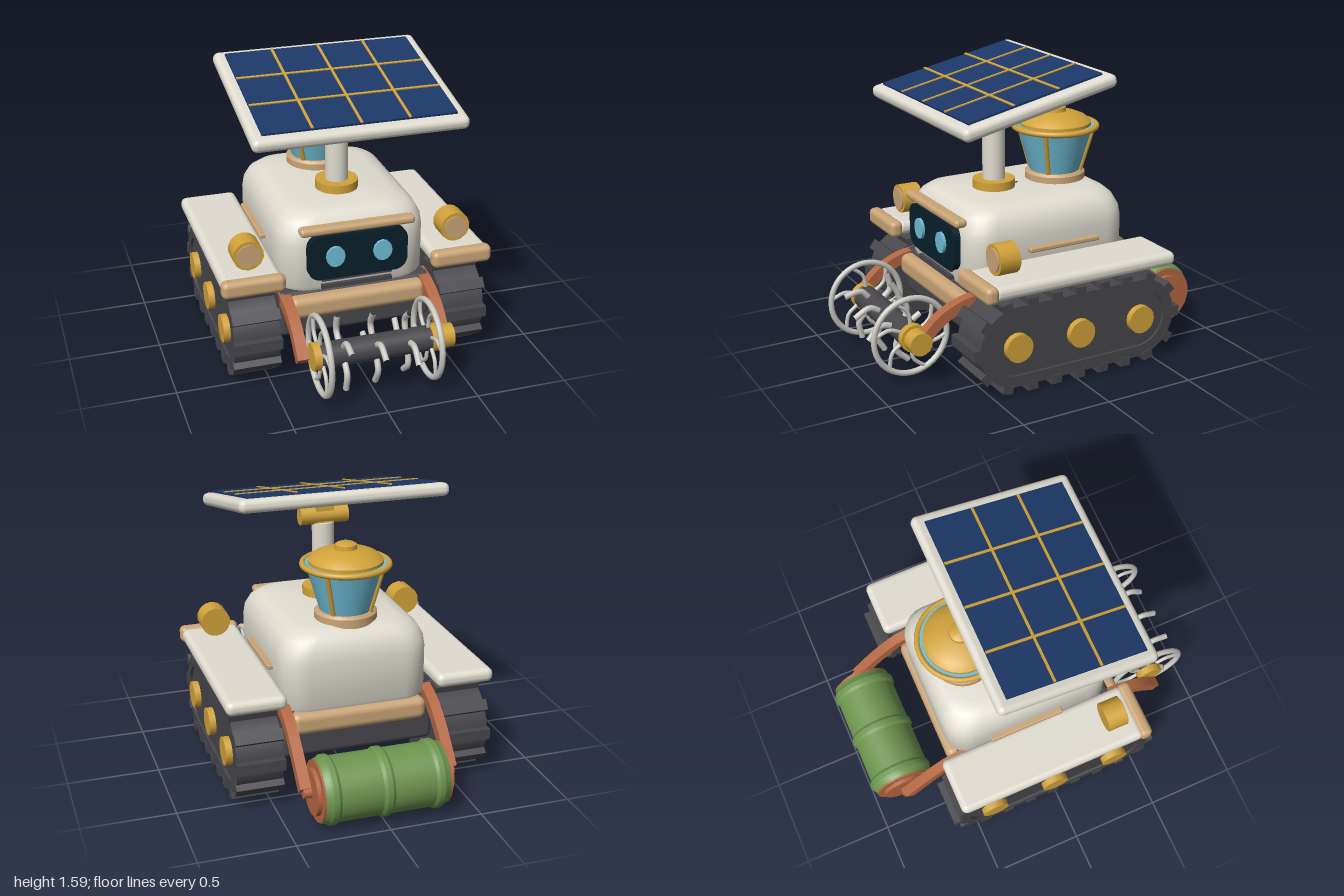
import * as THREE from 'three';
import { toCreasedNormals } from 'three/addons/utils/BufferGeometryUtils.js';
import { RoundedBoxGeometry } from 'three/addons/geometries/RoundedBoxGeometry.js';

const PI = Math.PI;
const paint = (name, color) => Object.assign(new THREE.MeshStandardMaterial({ color }), { name });
const M = {
  shell: paint('ivory shell', 0xe0dcd0), tan: paint('tan trim', 0xcaa577), gold: paint('brass', 0xd2a33a),
  copper: paint('copper', 0xb56843), green: paint('green drum', 0x6d954f), track: paint('dark rubber', 0x48474c),
  screen: paint('dark screen', 0x081f2a), glass: paint('cyan glass', 0x70bfd7), cell: paint('solar blue', 0x1c3868),
  steel: paint('pale steel', 0xcac8c2),
};

function add(parent, name, geo, mat, x = 0, y = 0, z = 0) {
  const m = new THREE.Mesh(geo, mat);
  m.name = name;
  m.position.set(x, y, z);
  parent.add(m);
  return m;
}
function group(parent, name, x = 0, y = 0, z = 0) {
  const g = new THREE.Group();
  g.name = name;
  g.position.set(x, y, z);
  parent.add(g);
  return g;
}
const box = (w, h, d) => new THREE.BoxGeometry(w, h, d);
const rbox = (w, h, d, r) => new RoundedBoxGeometry(w, h, d, 3, r);
const cyl = (rTop, rBottom, h, n = 24) => new THREE.CylinderGeometry(rTop, rBottom, h, n);
const cylX = (r, w, n = 24) => cyl(r, r, w, n).rotateZ(PI / 2);
const cylZ = (r, d, n = 24) => cyl(r, r, d, n).rotateX(PI / 2);
const lathe = (pts, n = 32) =>
  toCreasedNormals(new THREE.LatheGeometry(pts.map(p => new THREE.Vector2(...p)), n), 0.6);
const curve = pts => new THREE.CatmullRomCurve3(pts.map(p => new THREE.Vector3(...p)));
const tube = (pts, r, seg = 12, sides = 8) => new THREE.TubeGeometry(curve(pts), seg, r, sides);

// Square bar swept along a path
function bar(pts, size) {
  const h = size / 2;
  const s = new THREE.Shape([[-h, -h], [h, -h], [h, h], [-h, h]].map(p => new THREE.Vector2(...p)));
  return toCreasedNormals(new THREE.ExtrudeGeometry(s, { steps: 14, extrudePath: curve(pts) }), 0.6);
}

// Loft of rounded rectangles: each section is [y, halfX, halfZ, cornerRadius]
function loft(sections, perCorner = 7) {
  const pos = [], idx = [], n = perCorner * 4;
  for (const [y, hx, hz, r] of sections)
    for (let c = 0; c < 4; c++)
      for (let k = 0; k < perCorner; k++) {
        const a = (c + k / (perCorner - 1)) * PI / 2;
        const sx = c === 0 || c === 3 ? 1 : -1, sz = c < 2 ? 1 : -1;
        pos.push(sx * (hx - r) + r * Math.cos(a), y, sz * (hz - r) + r * Math.sin(a));
      }
  for (let i = 0; i < sections.length - 1; i++)
    for (let j = 0; j < n; j++) {
      const a = i * n + j, b = i * n + (j + 1) % n;
      idx.push(a, a + n, b, b, a + n, b + n);
    }
  const g = new THREE.BufferGeometry();
  g.setAttribute('position', new THREE.Float32BufferAttribute(pos, 3));
  g.setIndex(idx);
  return toCreasedNormals(g, 0.7);
}

// Stadium outline, optionally hollow, extruded across x and centred
function stadium(half, r, w, hole = 0) {
  const outline = (path, q) => path.absarc(half, 0, q, -PI / 2, PI / 2, false)
    .absarc(-half, 0, q, PI / 2, PI * 1.5, false);
  const s = outline(new THREE.Shape(), r);
  if (hole) s.holes.push(outline(new THREE.Path(), hole));
  const g = new THREE.ExtrudeGeometry(s, { depth: w, bevelEnabled: false, curveSegments: 14 });
  return toCreasedNormals(g.translate(0, 0, -w / 2).rotateY(PI / 2), 0.6);
}

function buildBody(root) {
  const g = group(root, 'body');
  add(g, 'shell', loft([
    [0.46, 0.01, 0.01, 0.005], [0.46, 0.39, 0.47, 0.14], [0.5, 0.41, 0.49, 0.15], [0.74, 0.41, 0.49, 0.15],
    [0.8, 0.402, 0.482, 0.15], [0.855, 0.375, 0.458, 0.15], [0.888, 0.335, 0.425, 0.15],
    [0.905, 0.27, 0.375, 0.14], [0.905, 0.01, 0.01, 0.005],
  ]), M.shell, 0, 0, -0.02);
  add(g, 'chassis', rbox(0.85, 0.26, 0.96, 0.03), M.track, 0, 0.35, -0.01);
  add(g, 'frontBumper', rbox(0.76, 0.122, 0.11, 0.04), M.tan, 0, 0.402, 0.475);
  add(g, 'rearBumper', rbox(0.75, 0.122, 0.12, 0.04), M.tan, 0, 0.42, -0.475);
  // Face
  const s = new THREE.Shape(), w = 0.275, h = 0.125, r = 0.07;
  s.absarc(w - r, h - r, r, 0, PI / 2);
  s.absarc(-w + r, h - r, r, PI / 2, PI);
  s.absarc(-w + r, -h + r, r, PI, PI * 1.5);
  s.absarc(w - r, -h + r, r, PI * 1.5, PI * 2);
  add(g, 'faceScreen', new THREE.ExtrudeGeometry(s, { depth: 0.06, bevelEnabled: false }), M.screen, 0, 0.677, 0.445);
  add(g, 'brow', rbox(0.63, 0.045, 0.07, 0.02), M.tan, 0, 0.833, 0.478);
  for (const x of [-0.128, 0.132])
    add(g, 'eye', rbox(0.1, 0.116, 0.018, 0.009).scale(1, 1, 1) && cylZ(0.052, 0.018, 12).scale(1, 1.13, 1),
      M.glass, x, 0.685, 0.512);
  for (const y of [0.545, 0.5]) add(g, 'grilleSlat', box(0.39, 0.024, 0.04), M.track, 0, y, 0.47);
  for (const x of [-0.42, 0.42]) add(g, 'sideTrim', rbox(0.045, 0.026, 0.43, 0.008), M.tan, x, 0.667, -0.075);
}

// Tracks, fenders and headlamps
function buildSide(root, s) {
  const name = s > 0 ? 'left' : 'right';
  const t = group(root, name + 'Track', s * 0.573, 0.269, -0.015);
  const half = 0.37, r = 0.222, straight = half * 2, arc = PI * r, total = 2 * (straight + arc), count = 20;
  add(t, 'belt', stadium(half, r, 0.25, 0.16), M.track);
  add(t, 'sidePlate', stadium(half, 0.165, 0.222), M.track);
  for (let i = 0; i < count; i++) {
    let d = ((i / count) * total + half) % total, flip = 0;
    if (d >= straight + arc) { d -= straight + arc; flip = PI; }
    const a = d < straight ? 0 : (d - straight) / r;
    const z = d < straight ? d - half : half, R = r + 0.01;
    const pivot = group(t, 'lugPivot');
    pivot.rotation.x = flip;
    add(pivot, 'trackLug', box(0.258, 0.05, 0.06), M.track, 0, R * Math.cos(a), z + R * Math.sin(a)).rotation.x = a;
  }
  for (const z of [-0.375, 0, 0.375]) add(t, 'wheelHub', cylX(0.077, 0.07, 18), M.gold, s * 0.112, 0, z);

  const f = group(root, name + 'Fender', s * 0.575, 0, 0);
  add(f, 'fenderPlate', rbox(0.325, 0.078, 1.1, 0.035), M.shell, 0, 0.588, -0.04);
  add(f, 'fenderNose', rbox(0.34, 0.095, 0.075, 0.03), M.tan, 0, 0.588, 0.522);
  add(f, 'headlamp', cylZ(0.083, 0.115, 14), M.gold, 0, 0.717, 0.377);
  add(f, 'headlampLens', cylZ(0.064, 0.009, 14), M.tan, 0, 0.717, 0.438);
}

function buildSolarPanel(root) {
  const g = group(root, 'solarMast', 0, 0, 0.12);
  add(g, 'mastCollar', cyl(0.117, 0.117, 0.055), M.gold, 0, 0.925);
  add(g, 'mast', cyl(0.062, 0.062, 0.42), M.shell, 0, 1.11);
  add(g, 'tiltBracket', box(0.1, 0.1, 0.08), M.gold, 0, 1.37);
  add(g, 'tiltPivot', cylX(0.05, 0.27, 16), M.gold, 0, 1.357);
  const p = group(g, 'solarPanel', 0, 1.464, 0.022);
  p.rotation.x = 0.215;
  add(p, 'panelFrame', rbox(1.145, 0.072, 0.905, 0.032), M.shell);
  add(p, 'solarCells', box(1.03, 0.016, 0.79), M.cell, 0, 0.039);
  for (const x of [-0.2575, 0, 0.2575]) add(p, 'cellLine', box(0.014, 0.009, 0.79), M.gold, x, 0.048);
  for (const z of [-0.132, 0.132]) add(p, 'cellLine', box(1.03, 0.009, 0.014), M.gold, 0, 0.048, z);
}

function buildLantern(root) {
  const g = group(root, 'lantern', 0, 0, -0.27);
  add(g, 'lanternBase', lathe([[0, 0.89], [0.168, 0.89], [0.168, 0.94], [0.155, 0.953], [0, 0.953]]), M.tan);
  add(g, 'lanternGlass', cyl(0.217, 0.14, 0.258, 32), M.glass, 0, 1.079);
  for (let i = 0; i < 4; i++) {
    const a = (i + 0.5) * PI / 2, c = Math.cos(a), n = Math.sin(a);
    add(g, 'lanternStrut', tube([[c * 0.143, 0.95, n * 0.143], [c * 0.213, 1.19, n * 0.213]], 0.013, 1), M.gold);
  }
  add(g, 'lanternRim', new THREE.TorusGeometry(0.23, 0.016, 10, 36).rotateX(PI / 2), M.gold, 0, 1.2);
  add(g, 'lanternLid', lathe([[0, 1.19], [0.2, 1.19], [0.2, 1.225], [0.17, 1.252],
    [0.12, 1.272], [0.06, 1.282], [0.058, 1.305], [0.04, 1.315], [0, 1.316]]), M.gold);
}

// Tilling reel carried on the front arms
function buildReel(root) {
  const g = group(root, 'tillerReel', 0, 0.268, 0.775);
  add(g, 'reelAxle', cylX(0.068, 0.66), M.track);
  const spoke = (x, a0, bend, r0, r1, name, thick) => {
    const pts = [0, 0.5, 1].map(t => {
      const r = r0 + (r1 - r0) * t, a = a0 + bend * t * t;
      return [x, r * Math.cos(a), r * Math.sin(a)];
    });
    add(g, name, tube(pts, thick, 8, 7), M.steel);
  };
  for (const x of [-0.295, 0.297]) {
    add(g, 'reelRim', new THREE.TorusGeometry(0.208, 0.016, 10, 40).rotateY(PI / 2), M.steel, x);
    add(g, 'reelHub', cylX(0.075, 0.04, 18), M.gold, x * 1.09);
    for (let i = 0; i < 6; i++) spoke(x, i * PI / 3, 0.4, 0.06, 0.208, 'reelSpoke', 0.011);
  }
  [-0.178, 0, 0.178].forEach((x, row) => {
    for (let i = 0; i < 4; i++) spoke(x, (i + 0.35) * PI / 2 + row * 0.3, 0.6, 0.055, 0.192, 'tine', 0.017);
  });
  add(g, 'reelMotor', cylX(0.063, 0.08, 16), M.gold, 0.39);
  for (const s of [-1, 1])
    add(root, 'frontArm', bar([[s * 0.39, 0.45, 0.38], [s * 0.39, 0.43, 0.52], [s * 0.388, 0.37, 0.65],
      [s * 0.388, 0.25, 0.775]], 0.06), M.copper);
}

// Ribbed drum trailing on the rear arms
function buildDrum(root) {
  const g = group(root, 'rearDrum', 0, 0.19, -0.815);
  const rib = x => [[0.172, x - 0.03], [0.183, x - 0.014], [0.183, x + 0.014], [0.172, x + 0.03]];
  add(g, 'drumShell', lathe([[0, -0.335], [0.165, -0.335], ...rib(-0.285), ...rib(0), ...rib(0.285),
    [0.165, 0.335], [0, 0.335]]).rotateZ(PI / 2), M.green);
  add(g, 'drumCap', cylX(0.163, 0.69, 32), M.copper);
  add(g, 'drumCapDisc', cylX(0.125, 0.735, 32), M.copper);
  add(g, 'drumAxle', cylX(0.03, 0.82, 16), M.copper);
  for (const s of [-1, 1])
    add(root, 'rearArm', bar([[s * 0.4, 0.5, -0.42], [s * 0.4, 0.455, -0.54], [s * 0.4, 0.36, -0.66],
      [s * 0.398, 0.2, -0.81]], 0.058), M.copper);
}

export function createModel() {
  const root = new THREE.Group();
  root.name = 'farmRover';
  buildBody(root);
  for (const s of [1, -1]) buildSide(root, s);
  buildSolarPanel(root);
  buildLantern(root);
  buildReel(root);
  buildDrum(root);
  return root;
}
